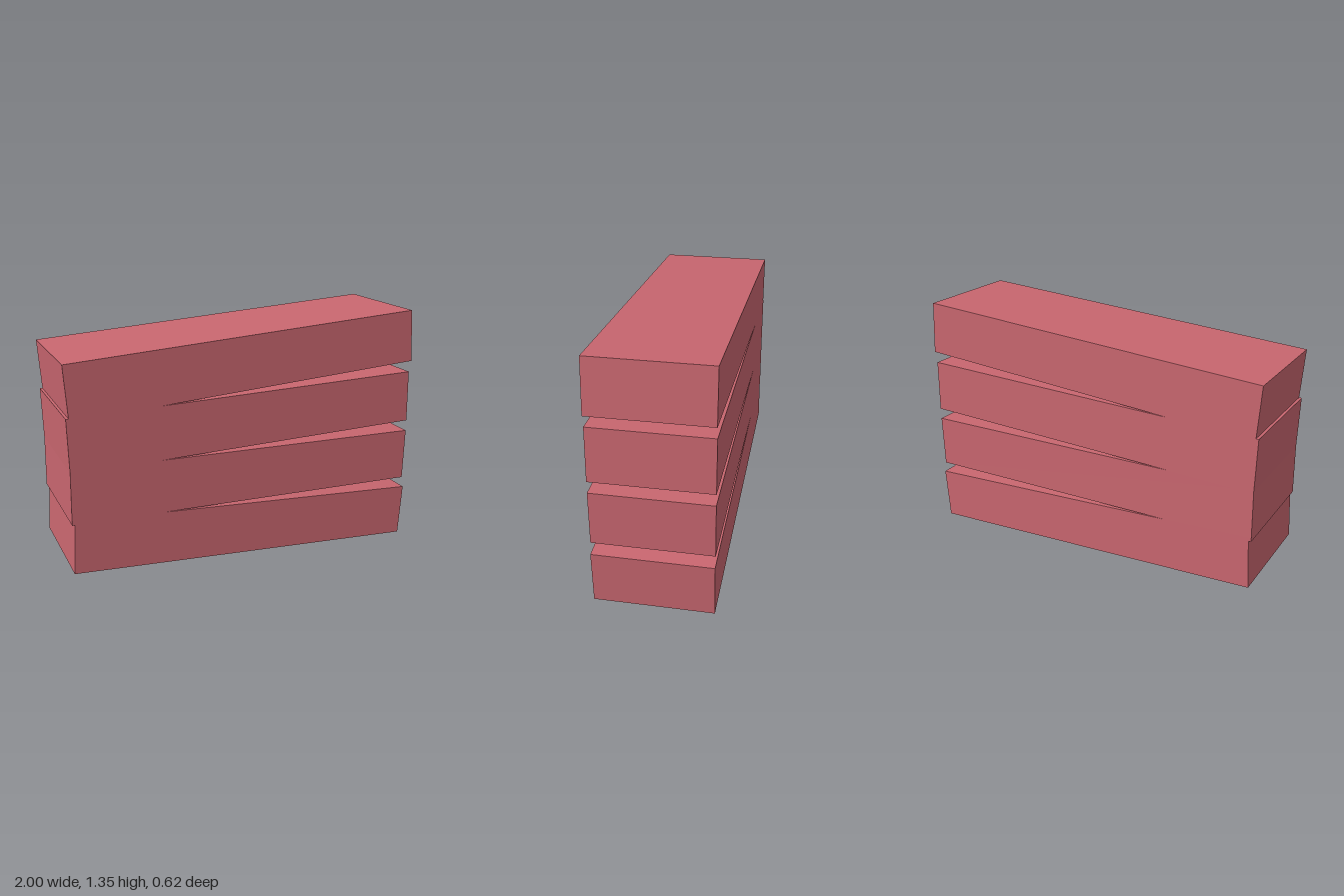
import * as THREE from 'three';

// Four identical slabs fanned out about a point beyond the left end
export function createModel() {
  const group = new THREE.Group();
  group.name = 'fannedSlabs';

  const length = 1.984, thickness = 0.292, depth = 0.625;
  const spacing = 0.3133, midHeight = 0.677;
  const stepAngle = THREE.MathUtils.degToRad(2.355);

  const material = new THREE.MeshStandardMaterial({ color: 0xc8666f });
  const geometry = new THREE.BoxGeometry(length, thickness, depth);

  // Slabs from bottom to top, each tilted a step more than the last
  const names = ['bottomSlab', 'lowerMiddleSlab', 'upperMiddleSlab', 'topSlab'];
  names.forEach((name, i) => {
    const step = i - 1.5;
    const slab = new THREE.Mesh(geometry, material);
    slab.name = name;
    slab.position.set(Math.abs(step) > 1 ? -0.001 : -0.003, midHeight + step * spacing, 0);
    slab.rotation.z = step * stepAngle;
    group.add(slab);
  });

  return group;
}
